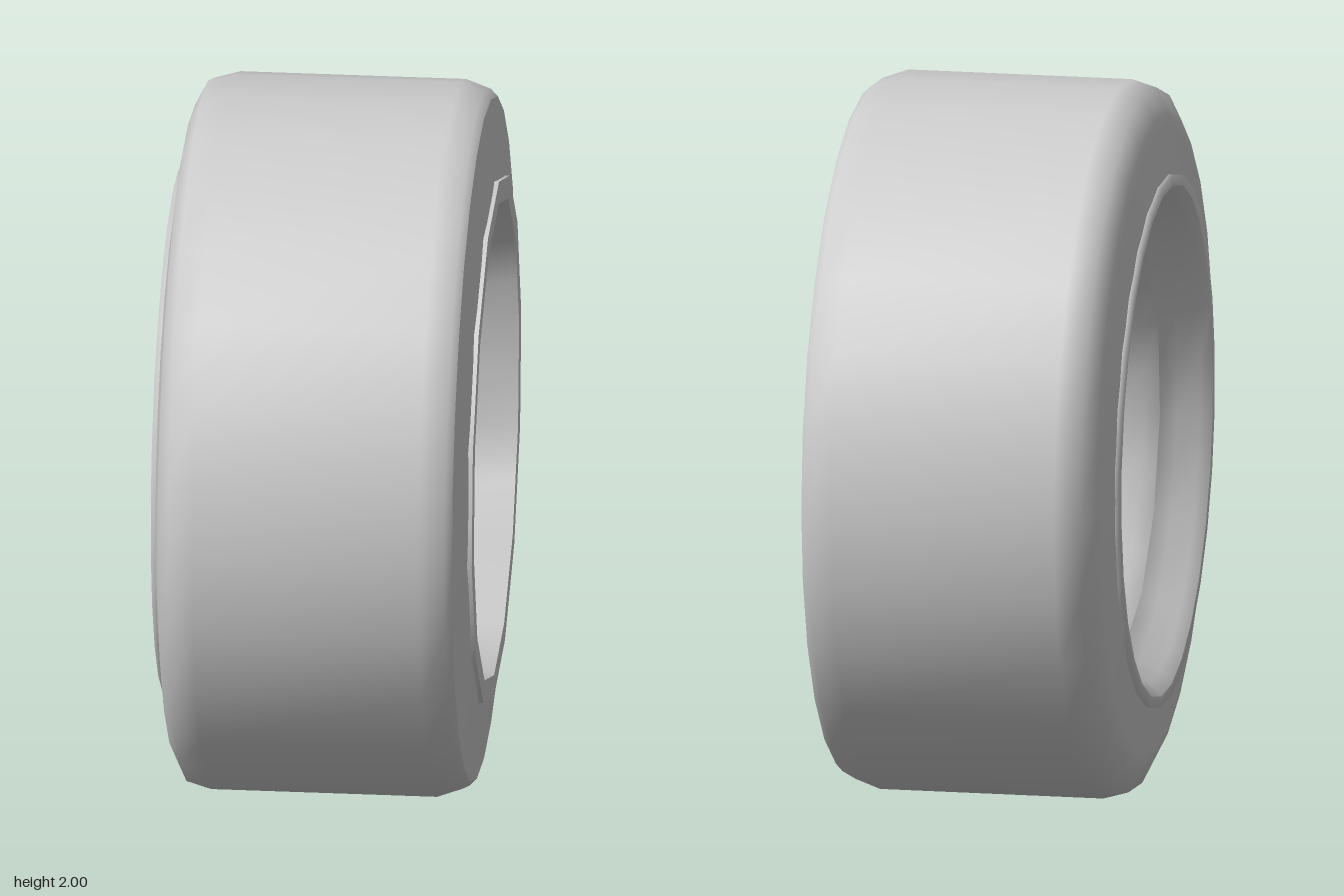
import * as THREE from 'three';

const SEG = 28;
const RIM_PHASE = THREE.MathUtils.degToRad(-5.8);
const STEP = (Math.PI * 2) / SEG;

// radius of a regular polygon (corner radius r, corner at angle 0) at angle a
function polygonRadius(r, sides, a) {
  const w = (Math.PI * 2) / sides;
  const m = ((a % w) + w) % w;
  return r * Math.cos(w / 2) / Math.cos(m - w / 2);
}

// skin rings [x, radius, sides = 28, offset = 0] around the x axis
function loft(profile, phase) {
  const pos = [], idx = [];
  profile.forEach(([x, r, sides = SEG, offset = 0]) => {
    for (let j = 0; j < SEG; j++) {
      const a = j * STEP;
      const rr = polygonRadius(r, sides, a - offset);
      pos.push(x, rr * Math.cos(a + phase), rr * Math.sin(a + phase));
    }
  });
  for (let i = 0; i < profile.length - 1; i++) {
    for (let j = 0; j < SEG; j++) {
      const k = (j + 1) % SEG;
      const a = i * SEG + j, b = a + SEG, c = (i + 1) * SEG + k, d = i * SEG + k;
      idx.push(a, b, c, a, c, d);
    }
  }
  const g = new THREE.BufferGeometry();
  g.setAttribute('position', new THREE.Float32BufferAttribute(pos, 3));
  g.setIndex(idx);
  g.computeVertexNormals();
  return g;
}

export function createModel() {
  const model = new THREE.Group();
  model.name = 'wheel';
  const wheel = new THREE.Group();
  wheel.name = 'wheelAssembly';
  wheel.position.y = 1;
  model.add(wheel);

  const grey = new THREE.MeshStandardMaterial({ color: 0xcccccc, side: THREE.DoubleSide });
  grey.name = 'light grey';

  const add = (name, geometry, parent = wheel) => {
    const mesh = new THREE.Mesh(geometry, grey);
    mesh.name = name;
    parent.add(mesh);
    return mesh;
  };

  // tyre
  add('tyreInnerSidewall', loft([[0.435, 0.72], [0.41, 0.955]], 0));
  add('tyreTread', loft([
    [0.41, 0.955], [0.39, 0.975], [0.32, 1], [-0.31, 1], [-0.38, 0.98], [-0.415, 0.91], [-0.42, 0.88],
  ], 0));
  add('tyreOuterSidewall', loft([[-0.42, 0.88], [-0.44, 0.72]], 0));

  // rim: outer lip, stepped dish, throat, barrel, inner lip
  add('rimOuterLip', loft([[-0.43, 0.745], [-0.45, 0.745], [-0.45, 0.715]], RIM_PHASE));
  add('rimDish', loft([[-0.45, 0.715], [-0.42, 0.68], [-0.36, 0.65], [-0.32, 0.61, 14]], RIM_PHASE));
  add('rimThroat', loft([[-0.32, 0.61, 14], [-0.28, 0.57], [-0.2, 0.545]], RIM_PHASE));
  add('rimBarrel', loft([[-0.2, 0.545], [-0.13, 0.61, 7, -STEP], [0.445, 0.68, 14]], RIM_PHASE));
  add('rimInnerLip', loft([[0.445, 0.68, 14], [0.445, 0.744, 14]], RIM_PHASE));
  add('rimInnerEdge', loft([[0.445, 0.744, 14], [0.42, 0.744, 14]], RIM_PHASE));

  // brake disc behind the spokes, corners on the z axis
  const disc = add('brakeDisc', new THREE.CylinderGeometry(0.47, 0.47, 0.05, 14));
  disc.rotation.z = Math.PI / 2;
  disc.rotation.x = STEP;
  disc.rotation.order = 'XYZ';
  disc.position.x = -0.005;

  // hub and centre cap
  const hub = add('hub', new THREE.CylinderGeometry(0.21, 0.25, 0.13, 10));
  hub.rotation.z = Math.PI / 2;
  hub.position.x = -0.09;
  const cap = add('centreCap', new THREE.CylinderGeometry(0.11, 0.135, 0.06, 10));
  cap.rotation.z = Math.PI / 2;
  cap.position.x = -0.18;

  // five tapered spokes with a nut between each pair
  for (let i = 0; i < 5; i++) {
    const arm = new THREE.Group();
    arm.name = 'spokeArm';
    arm.rotation.x = Math.PI / 2 + (i * Math.PI * 2) / 5;
    wheel.add(arm);
    const spoke = add('spoke', new THREE.CylinderGeometry(0.12, 0.06, 0.44, 8), arm);
    spoke.scale.x = 0.7;
    spoke.position.set(-0.11, 0.355, 0);

    const nutArm = new THREE.Group();
    nutArm.name = 'nutArm';
    nutArm.rotation.x = arm.rotation.x + Math.PI / 5;
    wheel.add(nutArm);
    const nut = add('wheelNut', new THREE.CylinderGeometry(0.033, 0.033, 0.06, 6), nutArm);
    nut.rotation.z = Math.PI / 2;
    nut.position.set(-0.165, 0.19, 0);
    const tip = add('nutTip', new THREE.SphereGeometry(0.033, 8, 6), nutArm);
    tip.position.set(-0.192, 0.19, 0);
  }
  return model;
}
